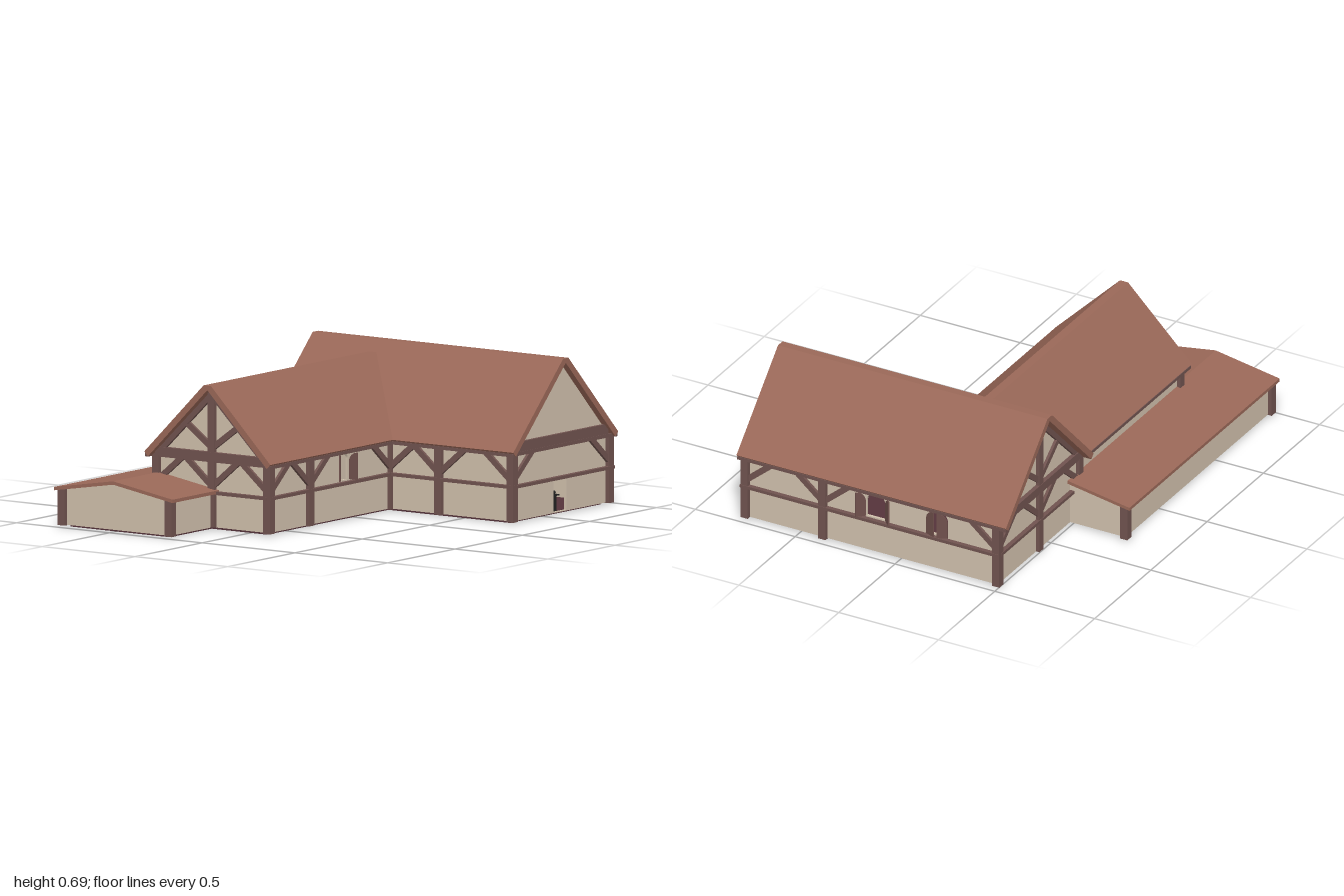
import * as THREE from 'three';

const mat = (color) => new THREE.MeshStandardMaterial({ color, flatShading: true, side: THREE.DoubleSide });
const PLASTER = mat(0xd0c0ac), TIMBER = mat(0x70534f), ROOF = mat(0x9a6858);
const FLOOR = mat(0x55333a), SHUTTER = mat(0x70504c), DARK = mat(0x222222);

function add(parent, name, geo, material, x = 0, y = 0, z = 0) {
  const m = new THREE.Mesh(geo, material);
  m.name = name;
  m.position.set(x, y, z);
  parent.add(m);
  return m;
}

const shapeOf = (pts) => new THREE.Shape(pts.map(([x, y]) => new THREE.Vector2(x, y)));
const extrude = (shape, depth) =>
  new THREE.ExtrudeGeometry(shape, { depth, bevelEnabled: false, curveSegments: 8 });

// Straight timber between two points of a wall plane
function beam(parent, name, a, b, width = 0.026, depth = 0.026) {
  const dx = b[0] - a[0], dy = b[1] - a[1];
  const m = add(parent, name, new THREE.BoxGeometry(Math.hypot(dx, dy), width, depth), TIMBER,
    (a[0] + b[0]) / 2, (a[1] + b[1]) / 2, 0);
  m.rotation.z = Math.atan2(dy, dx);
}

// Arched opening
function archHole(u, w, y0, y1) {
  const p = new THREE.Path();
  p.moveTo(u - w / 2, y0);
  p.lineTo(u + w / 2, y0);
  p.lineTo(u + w / 2, y1 - w / 2);
  p.absarc(u, y1 - w / 2, w / 2, 0, Math.PI, false);
  p.lineTo(u - w / 2, y0);
  return p;
}

// Half-arch shutter leaf hinged at u; side +1 opens from the left jamb
function shutter(parent, u, side, w, angle) {
  const s = new THREE.Shape();
  s.moveTo(0, 0);
  s.lineTo(w, 0);
  s.lineTo(w, 0.12);
  s.absarc(w, 0.12 - w, w, Math.PI / 2, Math.PI, false);
  s.lineTo(0, 0);
  const hinge = new THREE.Group();
  hinge.name = 'shutter';
  hinge.position.set(u, 0.178, 0.006);
  hinge.scale.x = side;
  const leaf = add(hinge, 'shutterLeaf', extrude(s, 0.006), SHUTTER);
  leaf.rotation.y = -angle;
  parent.add(hinge);
}

// Plaster wall in its own plane, outside facing local +z
function facade(root, name, x, z, turn, outline, holes = []) {
  const g = new THREE.Group();
  g.name = name;
  g.position.set(x, 0, z);
  g.rotation.y = turn * Math.PI / 2;
  const s = shapeOf(outline);
  s.holes.push(...holes);
  add(g, 'plaster', extrude(s, 0.012), PLASTER, 0, 0, -0.012);
  root.add(g);
  return g;
}
const rect = (a, b, top) => [[a, 0.01], [b, 0.01], [b, top], [a, top]];
const gable = (a, b, eave, peak) =>
  [[a, 0.01], [b, 0.01], [b, eave], [(a + b) / 2, peak], [a, eave]];

// Mid rail, top plate and corner braces; braces are [post position, direction]
function framing(g, a, b, braces) {
  beam(g, 'midRail', [a, 0.164], [b, 0.164], 0.014, 0.042);
  beam(g, 'topPlate', [a, 0.307], [b, 0.307], 0.016, 0.034);
  for (const [u, d] of braces) beam(g, 'brace', [u, 0.19], [u + d * 0.14, 0.308]);
}

// King post, tie beam, rafters and struts of an open-timbered gable
function truss(g, a, b, peak) {
  const c = (a + b) / 2, h = (b - a) / 2;
  beam(g, 'kingPost', [c, 0.012], [c, peak - 0.01], 0.036, 0.036);
  beam(g, 'tieBeam', [a, 0.325], [b, 0.325], 0.036, 0.04);
  for (const d of [-1, 1]) {
    beam(g, 'rafter', [c + d * (h - 0.01), 0.315], [c, peak - 0.02], 0.024, 0.03);
    beam(g, 'strut', [c, 0.36], [c + d * h * 0.48, 0.315 + (peak - 0.315) * 0.5]);
  }
}

// Chevron roof section with a narrow flat ridge, 45 degree slopes
const roofShape = (half, eave) => shapeOf([
  [-half, eave], [-half + 0.02, eave - 0.02], [0, eave + half - 0.04], [half - 0.02, eave - 0.02],
  [half, eave], [0.02, eave + half - 0.02], [-0.02, eave + half - 0.02]]);

export function createModel() {
  const root = new THREE.Group();
  root.name = 'timberFrameBarn';

  // Floor slab under both wings and the lean-to
  const floor = extrude(shapeOf([[-0.95, -0.745], [0.29, -0.745], [0.29, -0.47], [0.935, -0.47], [0.935, 0.745],
    [0.26, 0.745], [0.26, 0.09], [-0.64, 0.09], [-0.64, -0.21], [-0.95, -0.21]]), 0.012);
  floor.rotateX(Math.PI / 2);
  add(root, 'floor', floor, FLOOR, 0, 0.012, 0);

  // Main wing front with doorway
  const door = new THREE.Path([[0.55, 0.014], [0.645, 0.014], [0.645, 0.15], [0.55, 0.15]]
    .map(([x, y]) => new THREE.Vector2(x, y)));
  const front = facade(root, 'mainFront', 0, 0.77, 0, gable(0.243, 0.957, 0.31, 0.668), [door]);
  framing(front, 0.243, 0.957, [[0.243, 1], [0.957, -1]]);
  beam(front, 'tieBeam', [0.26, 0.336], [0.94, 0.336], 0.046, 0.03);

  // Main wing long side with two arched windows
  const side = facade(root, 'mainOuterSide', 0.957, 0, 1, rect(-0.77, 0.49, 0.31),
    [archHole(-0.118, 0.095, 0.178, 0.298), archHole(0.192, 0.1, 0.178, 0.298)]);
  framing(side, -0.79, 0.505, [[-0.77, 1], [-0.38, -1], [-0.38, 1], [0.49, -1]]);
  shutter(side, -0.166, 1, 0.048, 2.35);
  shutter(side, -0.07, -1, 0.048, 2.35);
  shutter(side, 0.14, 1, 0.05, 0.4);
  shutter(side, 0.244, -1, 0.05, 0.4);

  const back = facade(root, 'mainBack', 0, -0.49, 2, gable(-0.957, -0.243, 0.31, 0.668));
  framing(back, -0.957, -0.243, [[-0.957, 1], [-0.6, -1], [-0.6, 1], [-0.243, -1]]);
  truss(back, -0.957, -0.243, 0.668);

  const inner = facade(root, 'mainCourtSide', 0.243, 0, -1, rect(0.11, 0.77, 0.31));
  framing(inner, 0.11, 0.79, [[0.77, -1], [0.38, -1], [0.38, 1], [0.11, 1]]);

  // Side wing
  const wing = facade(root, 'wingFront', 0, 0.11, 0, rect(-0.655, 0.243, 0.315),
    [archHole(-0.098, 0.056, 0.178, 0.298)]);
  framing(wing, -0.67, 0.243, [[-0.655, 1], [-0.36, -1], [-0.36, 1], [0.243, -1]]);
  shutter(wing, -0.126, 1, 0.045, 2.6);
  shutter(wing, -0.07, -1, 0.045, 1.6);

  const wingEnd = facade(root, 'wingEnd', -0.655, 0, -1, gable(-0.49, 0.11, 0.315, 0.618));
  framing(wingEnd, -0.49, 0.11, [[-0.49, 1], [-0.19, -1], [-0.19, 1], [0.11, -1]]);
  truss(wingEnd, -0.49, 0.11, 0.618);

  const wingBack = facade(root, 'wingBack', 0, -0.49, 2, rect(-0.243, 0.655, 0.315));
  beam(wingBack, 'topPlate', [-0.243, 0.307], [0.67, 0.307], 0.016, 0.034);

  // Low outbuilding walls
  facade(root, 'shedBack', 0, -0.768, 2, rect(-0.312, 0.972, 0.168));
  facade(root, 'shedEnd', -0.972, 0, -1, gable(-0.768, -0.192, 0.168, 0.216));
  facade(root, 'shedFront', 0, -0.192, 0, rect(-0.972, -0.655, 0.168));
  facade(root, 'shedReturn', 0.312, 0, 1,
    [[0.49, 0.01], [0.768, 0.01], [0.768, 0.168], [0.49, 0.212]]);

  // Posts: x, z, top
  const posts = [[0.243, 0.77, 0.31], [0.957, 0.77, 0.31], [0.957, 0.38, 0.31], [0.243, 0.38, 0.31],
    [0.957, -0.49, 0.31], [0.243, -0.49, 0.31], [0.243, 0.11, 0.31], [-0.36, 0.11, 0.31], [-0.655, 0.11, 0.31],
    [-0.655, -0.49, 0.31], [-0.972, -0.768, 0.168], [-0.972, -0.192, 0.168], [0.312, -0.768, 0.168]];
  for (const [x, z, top] of posts) {
    add(root, 'post', new THREE.BoxGeometry(0.037, top - 0.008, 0.037), TIMBER, x, (top + 0.008) / 2, z);
  }

  // Main roof
  add(root, 'mainRoof', extrude(roofShape(0.39, 0.32), 1.35), ROOF, 0.6, 0, -0.55);

  // Wing roof, its far end sloped to die into the main roof
  const wingRoof = extrude(roofShape(0.34, 0.32), 1);
  const p = wingRoof.attributes.position;
  for (let i = 0; i < p.count; i++) if (p.getZ(i) > 0.5) p.setZ(i, 0.92 + p.getY(i) - 0.32);
  wingRoof.rotateY(Math.PI / 2);
  wingRoof.computeVertexNormals();
  add(root, 'wingRoof', wingRoof, ROOF, -0.7, 0, -0.19);

  // Eave boards
  for (const x of [0.222, 0.978]) {
    const from = x < 0.5 ? 0.14 : -0.55;
    add(root, 'eaveBoard', new THREE.BoxGeometry(0.018, 0.014, 0.798 - from), TIMBER, x, 0.306, (0.798 + from) / 2);
  }
  for (const z of [0.138, -0.518]) {
    add(root, 'eaveBoard', new THREE.BoxGeometry(0.92, 0.014, 0.018), TIMBER, -0.238, 0.306, z);
  }

  // Shallow outbuilding roof: long back slope, short front slope
  for (const [d, length] of [[1, 1.335], [-1, 0.345]]) {
    const slope = extrude(shapeOf([[0, 0.214], [d * 0.32, 0.161], [d * 0.32, 0.176], [0, 0.229]]), length);
    slope.rotateY(Math.PI / 2);
    add(root, 'shedRoof', slope, ROOF, -1, 0, -0.48);
  }

  // Small standing figure in the doorway
  const figure = new THREE.Group();
  figure.name = 'scaleFigure';
  figure.position.set(0.59, 0.012, 0.745);
  root.add(figure);
  add(figure, 'head', new THREE.SphereGeometry(0.007, 8, 6), DARK, 0, 0.084, 0);
  add(figure, 'torso', new THREE.BoxGeometry(0.018, 0.036, 0.01), DARK, 0, 0.058, 0);
  add(figure, 'arms', new THREE.BoxGeometry(0.072, 0.006, 0.006), DARK, 0, 0.069, 0);
  for (const s of [-1, 1]) add(figure, 'leg', new THREE.BoxGeometry(0.007, 0.042, 0.008), DARK, s * 0.006, 0.021, 0);

  return root;
}
